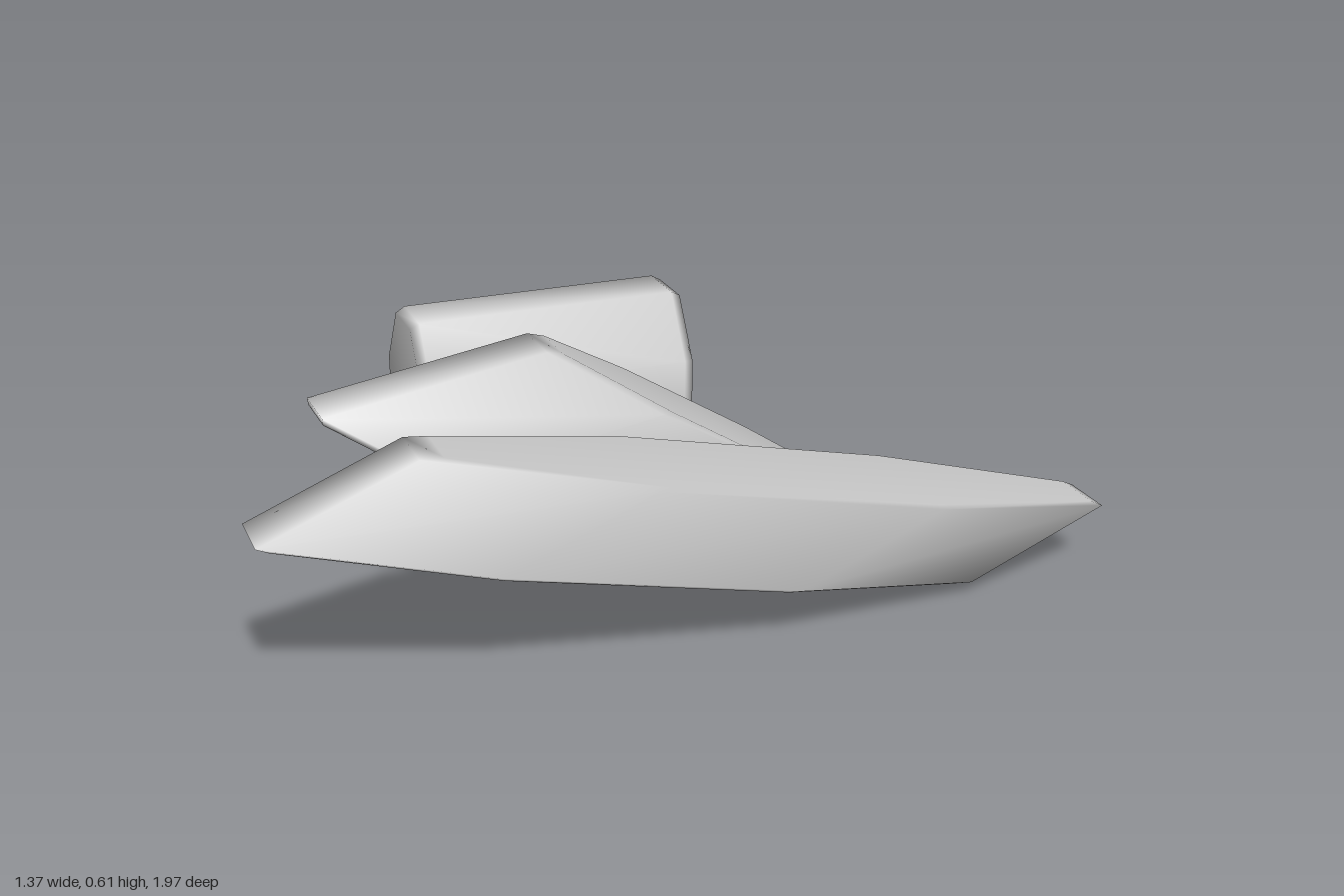
import * as THREE from 'three';

const material = new THREE.MeshStandardMaterial({ color: 0xcccccc });
const SIDES = 8;

// Bevelled octagonal prism: u and v are the half extents of the octagon,
// d runs from the centre of the front face to the centre of the back face.
function skewedPrism(name, front, u, v, d) {
  const [c, U, V, D] = [front, u, v, d].map((a) => new THREE.Vector3(...a));
  const at = (x, y, t) =>
    c.clone().addScaledVector(U, x).addScaledVector(V, y).addScaledVector(D, t);

  // Rings from front to back: [radius, position along d]
  const rings = [[0.95, -0.015], [1, 0.02], [1, 0.98], [0.95, 1.015]];
  const points = [];
  const index = [];
  for (const [r, t] of rings) {
    for (let k = 0; k < SIDES; k++) {
      const a = ((k + 0.5) * 2 * Math.PI) / SIDES;
      const s = r / Math.cos(Math.PI / SIDES);
      points.push(at(Math.cos(a) * s, Math.sin(a) * s, t));
    }
  }
  const frontCentre = points.push(at(0, 0, -0.015)) - 1;
  const backCentre = points.push(at(0, 0, 1.015)) - 1;

  const last = (rings.length - 1) * SIDES;
  for (let k = 0; k < SIDES; k++) {
    const n = (k + 1) % SIDES;
    for (let i = 0; i < last; i += SIDES) {
      const a = i + k, b = i + n, e = a + SIDES, f = b + SIDES;
      index.push(a, e, b, b, e, f);
    }
    index.push(frontCentre, k, n, backCentre, last + n, last + k);
  }

  const geometry = new THREE.BufferGeometry().setFromPoints(points);
  geometry.setIndex(index);
  geometry.computeVertexNormals();
  const mesh = new THREE.Mesh(geometry, material);
  mesh.name = name;
  return mesh;
}

export function createModel() {
  const group = new THREE.Group();
  group.name = 'leaningPrisms';
  group.add(
    // Upright short block
    skewedPrism('uprightBlock', [-0.535, 0.32, 0.225], [0.155, 0, 0.05], [0, 0.26, 0], [0.21, 0, -0.645]),
    // Half-tilted block in the middle
    skewedPrism('tiltedBlock', [-0.15, 0.265, 0.248], [0.155, 0, 0.045], [-0.1255, 0.265, 0.405], [0.15, 0.08, -0.53]),
    // Long, nearly flat block
    skewedPrism('flatBlock', [0.257, 0.2245, 0.175], [0.148, 0, 0.046], [-0.26, 0.194, 0.80], [0.106, 0.145, -0.35]),
  );
  return group;
}
